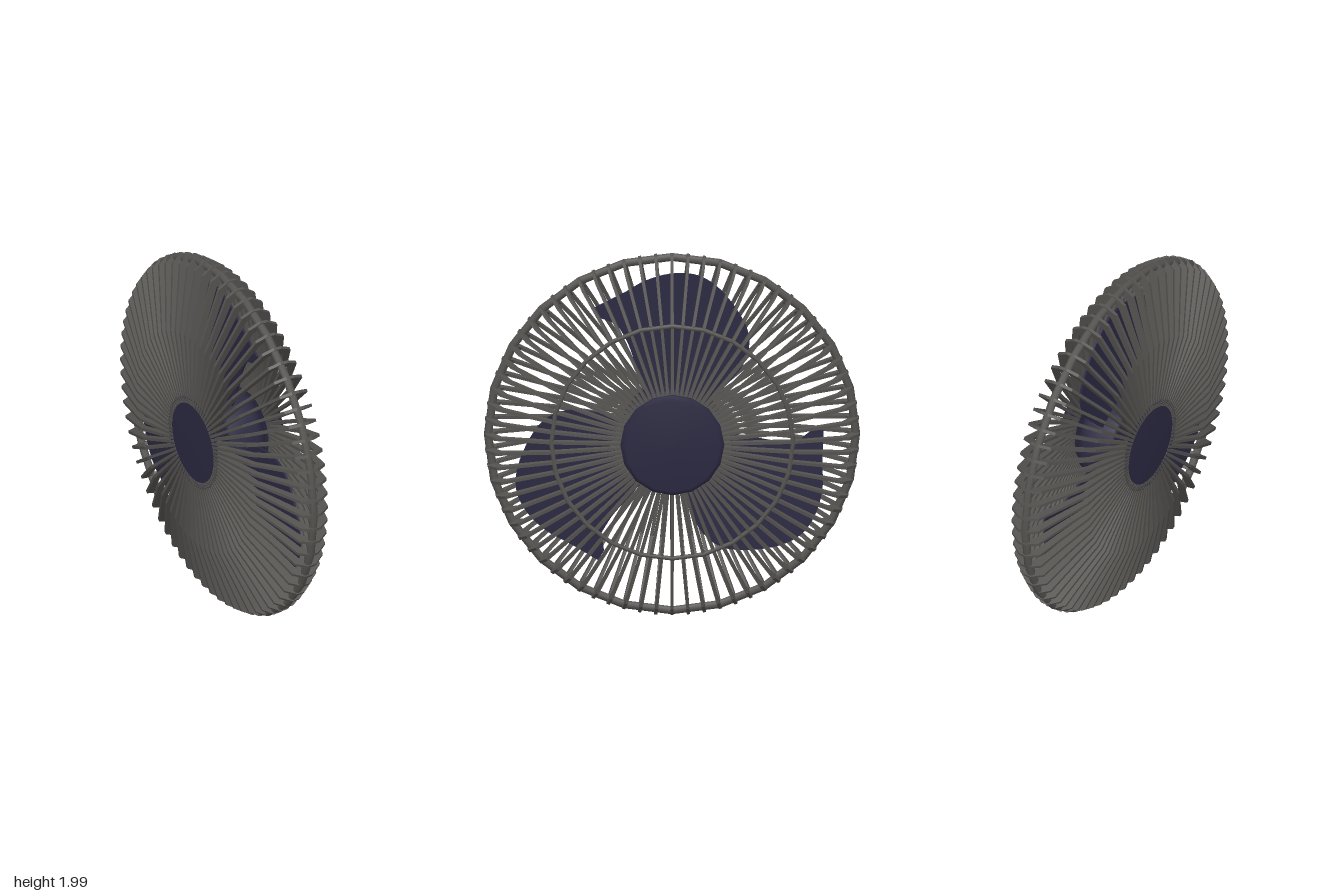
import * as THREE from 'three';
import { mergeGeometries } from 'three/addons/utils/BufferGeometryUtils.js';

const wireMat = new THREE.MeshStandardMaterial({ color: 0x555350 });
const bladeMat = new THREE.MeshStandardMaterial({ color: 0x2a2840, side: THREE.DoubleSide });

const V2 = (p) => new THREE.Vector2(p[0], p[1]);

function addMesh(parent, name, geometry, material) {
  const mesh = new THREE.Mesh(geometry, material);
  mesh.name = name;
  parent.add(mesh);
  return mesh;
}

// Ring around the fan axis (x)
function ring(radius, tube, x) {
  return new THREE.TorusGeometry(radius, tube, 8, 24).rotateY(Math.PI / 2).translate(x, 0, 0);
}

// Turned part around the fan axis; profile points are [radius, x]
function turned(profile) {
  return new THREE.LatheGeometry(profile.map(V2), 16).rotateZ(-Math.PI / 2);
}

// One guard rib, thin around the wheel and deep along the axis: outer edge, then inner edge, as [x, radius]
function guardRib() {
  const thickness = 0.016;
  const outline = [
    [0.17, 0.2], [0.168, 0.28], [0.137, 0.65], [0.07, 0.94], [0, 0.99],
    [-0.045, 0.993], [-0.105, 0.955], [-0.2, 0.61], [-0.213, 0.22],
    [-0.178, 0.22], [-0.165, 0.61], [-0.07, 0.92], [-0.03, 0.95],
    [0.035, 0.905], [0.102, 0.65], [0.133, 0.28], [0.135, 0.2],
  ];
  const shape = new THREE.Shape(outline.map(V2));
  return new THREE.ExtrudeGeometry(shape, { depth: thickness, bevelEnabled: false })
    .translate(0, 0, -thickness / 2);
}

// Swept blade, cut from an outline and slightly pitched by a shear along the axis
function bladeGeometry() {
  const shape = new THREE.Shape();
  shape.moveTo(-0.08, 0.18);
  shape.lineTo(-0.16, 0.29);
  shape.splineThru([[-0.2, 0.4], [-0.235, 0.5], [-0.29, 0.6]].map(V2));
  shape.lineTo(-0.38, 0.635);
  shape.lineTo(-0.41, 0.69);
  shape.splineThru([
    [-0.25, 0.775], [-0.14, 0.84], [0, 0.88], [0.14, 0.87], [0.26, 0.79],
    [0.37, 0.64], [0.41, 0.51], [0.37, 0.37], [0.25, 0.23],
  ].map(V2));
  shape.lineTo(0.16, 0.14);
  const geo = new THREE.ExtrudeGeometry(shape, { depth: 0.012, bevelEnabled: false, curveSegments: 4 });
  const pos = geo.attributes.position;
  for (let i = 0; i < pos.count; i++) pos.setZ(i, pos.getZ(i) - 0.048 + 0.03 * pos.getX(i));
  geo.computeVertexNormals();
  return geo.rotateY(Math.PI / 2);
}

export function createModel() {
  const model = new THREE.Group();
  model.name = 'fan';
  const fan = new THREE.Group();
  fan.name = 'fanHead';
  fan.position.y = 1;
  model.add(fan);

  // Guard
  const guard = new THREE.Group();
  guard.name = 'guard';
  fan.add(guard);
  addMesh(guard, 'rim', ring(0.974, 0.022, -0.036), wireMat);
  addMesh(guard, 'frontRing', ring(0.64, 0.012, 0.13), wireMat);
  const rib = guardRib();
  const ribs = [];
  for (let i = 0; i < 72; i++) ribs.push(rib.clone().rotateX((i / 72) * Math.PI * 2));
  addMesh(guard, 'guardRibs', mergeGeometries(ribs), wireMat);

  // Front cap and thin back plate holding the ribs
  addMesh(fan, 'frontCap', turned([
    [0, 0.16], [0.25, 0.16], [0.275, 0.172], [0.275, 0.188], [0.25, 0.21], [0, 0.215],
  ]), bladeMat);
  addMesh(fan, 'backPlate', turned([
    [0, -0.213], [0.26, -0.211], [0.26, -0.198], [0, -0.198],
  ]), bladeMat);

  // Spinning hub with three blades
  const rotor = new THREE.Group();
  rotor.name = 'rotor';
  fan.add(rotor);
  addMesh(rotor, 'hub', turned([
    [0, -0.125], [0.255, -0.125], [0.272, -0.11], [0.272, 0.04], [0.25, 0.085], [0.2, 0.115], [0, 0.125],
  ]), bladeMat);
  const blade = bladeGeometry();
  for (let i = 0; i < 3; i++) {
    addMesh(rotor, 'blade', blade, bladeMat).rotation.x = (i / 3) * Math.PI * 2;
  }
  return model;
}
